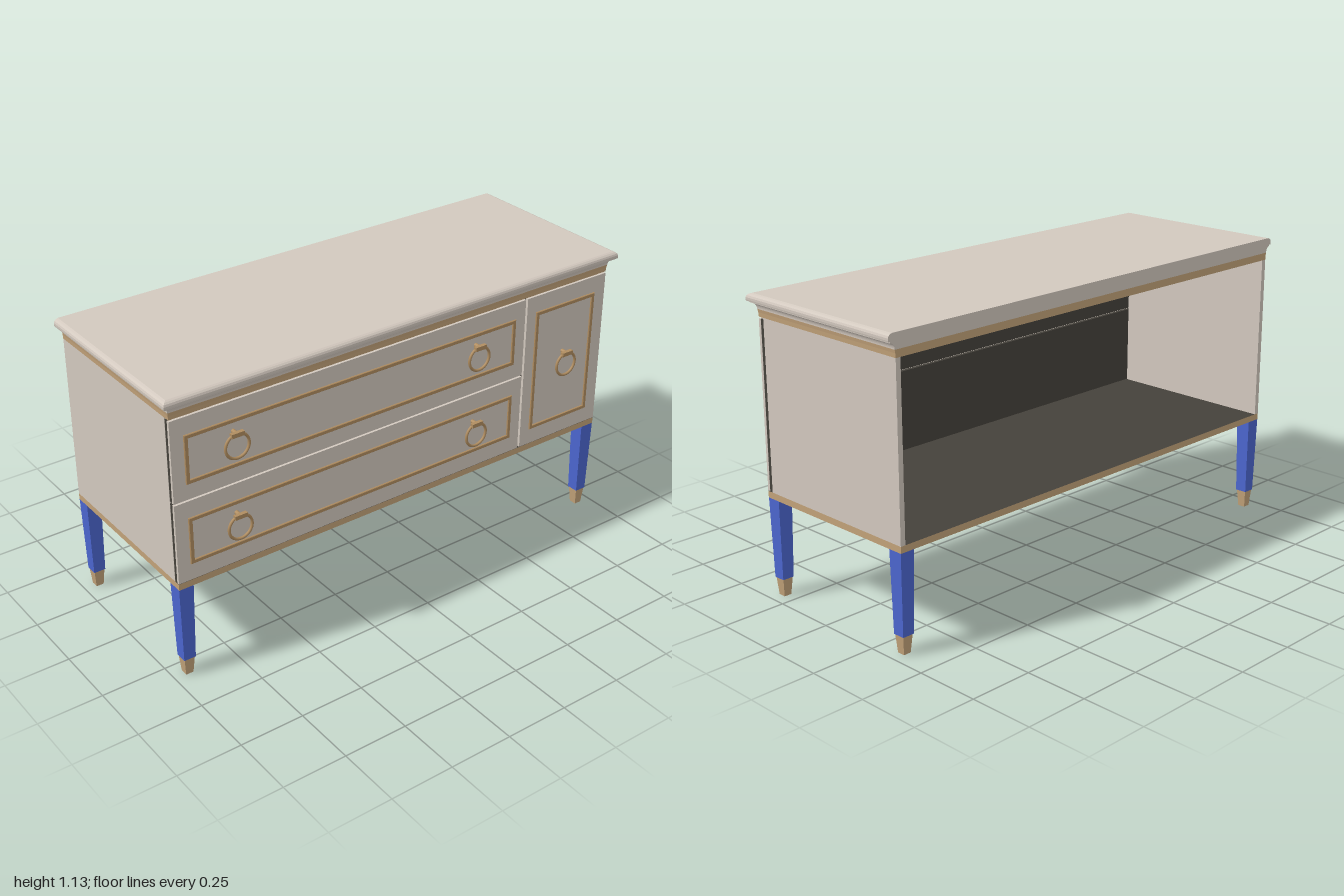
import * as THREE from 'three';

const mat = (name, color) => new THREE.MeshStandardMaterial({ name, color });
const cream = mat('cream paint', 0xd2c8be);
const gold = mat('gold edging', 0xc2a279);
const bronze = mat('bronze trim', 0xb08d60);
const dark = mat('dark lining', 0x45423b);
const blue = mat('blue legs', 0x4c66cf);

function add(parent, name, geometry, material, x = 0, y = 0, z = 0) {
  const mesh = new THREE.Mesh(geometry, material);
  mesh.name = name;
  mesh.position.set(x, y, z);
  parent.add(mesh);
  return mesh;
}

// Box given by its two opposite corners
function slab(parent, name, material, x0, x1, y0, y1, z0, z1) {
  return add(parent, name, new THREE.BoxGeometry(x1 - x0, y1 - y0, z1 - z0), material,
    (x0 + x1) / 2, (y0 + y1) / 2, (z0 + z1) / 2);
}

// Moulding with a flush back: profile of [overhang, height], bottom to top
function moulding(profile, capBottom, capTop) {
  const pos = [];
  const quad = (a, b, c, d) => pos.push(...a, ...b, ...c, ...a, ...c, ...d);
  const ring = ([o, y]) => {
    const x = 0.97 + o, f = 0.34 + o, b = -0.38;
    return [[-x, y, f], [x, y, f], [x, y, b], [-x, y, b]];
  };
  const rings = profile.map(ring);
  for (let i = 0; i < rings.length - 1; i++) {
    for (let k = 0; k < 4; k++) {
      const n = (k + 1) % 4;
      quad(rings[i][k], rings[i][n], rings[i + 1][n], rings[i + 1][k]);
    }
  }
  const geo = new THREE.BufferGeometry();
  const sides = pos.length / 3;
  if (capTop) quad(...rings[rings.length - 1]);
  const afterTop = pos.length / 3;
  if (capBottom) quad(...[...rings[0]].reverse());
  geo.addGroup(0, sides, 0);
  if (capTop) geo.addGroup(sides, 6, 0);
  if (capBottom) geo.addGroup(afterTop, 6, 1);
  geo.setAttribute('position', new THREE.Float32BufferAttribute(pos, 3));
  geo.computeVertexNormals();
  return geo;
}

// Thin rectangular frame with a slightly bevelled edge
function frame(parent, x0, x1, y0, y1) {
  const w = 0.015;
  const rect = (Type, i) => {
    const p = new Type();
    p.moveTo(x0 + i, y0 + i);
    p.lineTo(x1 - i, y0 + i);
    p.lineTo(x1 - i, y1 - i);
    p.lineTo(x0 + i, y1 - i);
    p.closePath();
    return p;
  };
  const shape = rect(THREE.Shape, 0.002);
  shape.holes.push(rect(THREE.Path, w - 0.002));
  add(parent, 'panelTrim', new THREE.ExtrudeGeometry(shape, {
    depth: 0.005, bevelEnabled: true, bevelThickness: 0.002, bevelSize: 0.002, bevelSegments: 1,
  }), bronze, 0, 0, 0.34);
}

// Ring pull hanging from a small block
function handle(parent, x, y) {
  const g = new THREE.Group();
  g.name = 'ringPull';
  add(g, 'ring', new THREE.TorusGeometry(0.047, 0.0055, 8, 36), bronze, 0, 0, 0.366);
  slab(g, 'pullBlock', bronze, -0.025, 0.025, 0.038, 0.054, 0.361, 0.376);
  const post = add(g, 'pullPost', new THREE.CylinderGeometry(0.008, 0.008, 0.03, 16), bronze, 0, 0.046, 0.353);
  post.rotation.x = Math.PI / 2;
  g.position.set(x, y, 0);
  parent.add(g);
}

// Painted front with a dark core, trim frame and pulls
function front(parent, name, [x0, x1, y0, y1], trim, pulls) {
  const g = new THREE.Group();
  g.name = name;
  slab(g, 'frontPanel', cream, x0, x1, y0, y1, 0.33, 0.341);
  slab(g, 'frontCore', dark, x0 + 0.001, x1 - 0.001, y0, y1, 0.315, 0.33);
  frame(g, ...trim);
  pulls.forEach(([x, y]) => handle(g, x, y));
  parent.add(g);
}

function squareTaper(top, bottom, height) {
  const geo = new THREE.CylinderGeometry(top * Math.SQRT2, bottom * Math.SQRT2, height, 4).toNonIndexed();
  geo.rotateY(Math.PI / 4);
  geo.computeVertexNormals();
  return geo;
}

export function createModel() {
  const model = new THREE.Group();
  model.name = 'sideboard';

  // Base board and side walls; the back stays open
  slab(model, 'baseBoard', [gold, gold, dark, cream, gold, gold], -0.97, 0.97, 0.38, 0.405, -0.38, 0.34);
  for (const s of [-1, 1]) {
    slab(model, 'sideWall', cream, s * 0.96 - 0.01, s * 0.96 + 0.01, 0.405, 1.05, -0.38, 0.315);
  }

  // Cornice: gold strip, cove and rounded top board
  add(model, 'corniceStrip', moulding([[0, 1.05], [0.001, 1.066], [0.003, 1.078]], true, false), [gold, dark]);
  const cove = [];
  for (let i = 0; i <= 8; i++) {
    const a = (i / 8) * Math.PI / 2;
    cove.push([0.003 + 0.019 * (1 - Math.cos(a)), 1.078 + 0.024 * Math.sin(a)]);
  }
  add(model, 'corniceTop', moulding([
    ...cove, [0.022, 1.107], [0.029, 1.107], [0.03, 1.112], [0.03, 1.12],
    [0.027, 1.127], [0.021, 1.132], [0.013, 1.135],
  ], false, true), [cream, cream]);

  // Two wide drawers and a door
  front(model, 'upperDrawer', [-0.97, 0.563, 0.729, 1.044], [-0.92, 0.515, 0.79, 0.978],
    [[-0.73, 0.884], [0.323, 0.884]]);
  front(model, 'lowerDrawer', [-0.97, 0.563, 0.407, 0.722], [-0.92, 0.515, 0.472, 0.657],
    [[-0.73, 0.562], [0.323, 0.562]]);
  front(model, 'door', [0.573, 0.97, 0.407, 1.044], [0.617, 0.915, 0.472, 0.978], [[0.767, 0.725]]);

  // Tapered legs with metal feet
  for (const x of [-0.941, 0.941]) {
    for (const z of [-0.35, 0.31]) {
      add(model, 'leg', squareTaper(0.029, 0.0235, 0.31), blue, x, 0.225, z);
      add(model, 'foot', squareTaper(0.021, 0.015, 0.07), gold, x, 0.035, z);
    }
  }
  return model;
}
